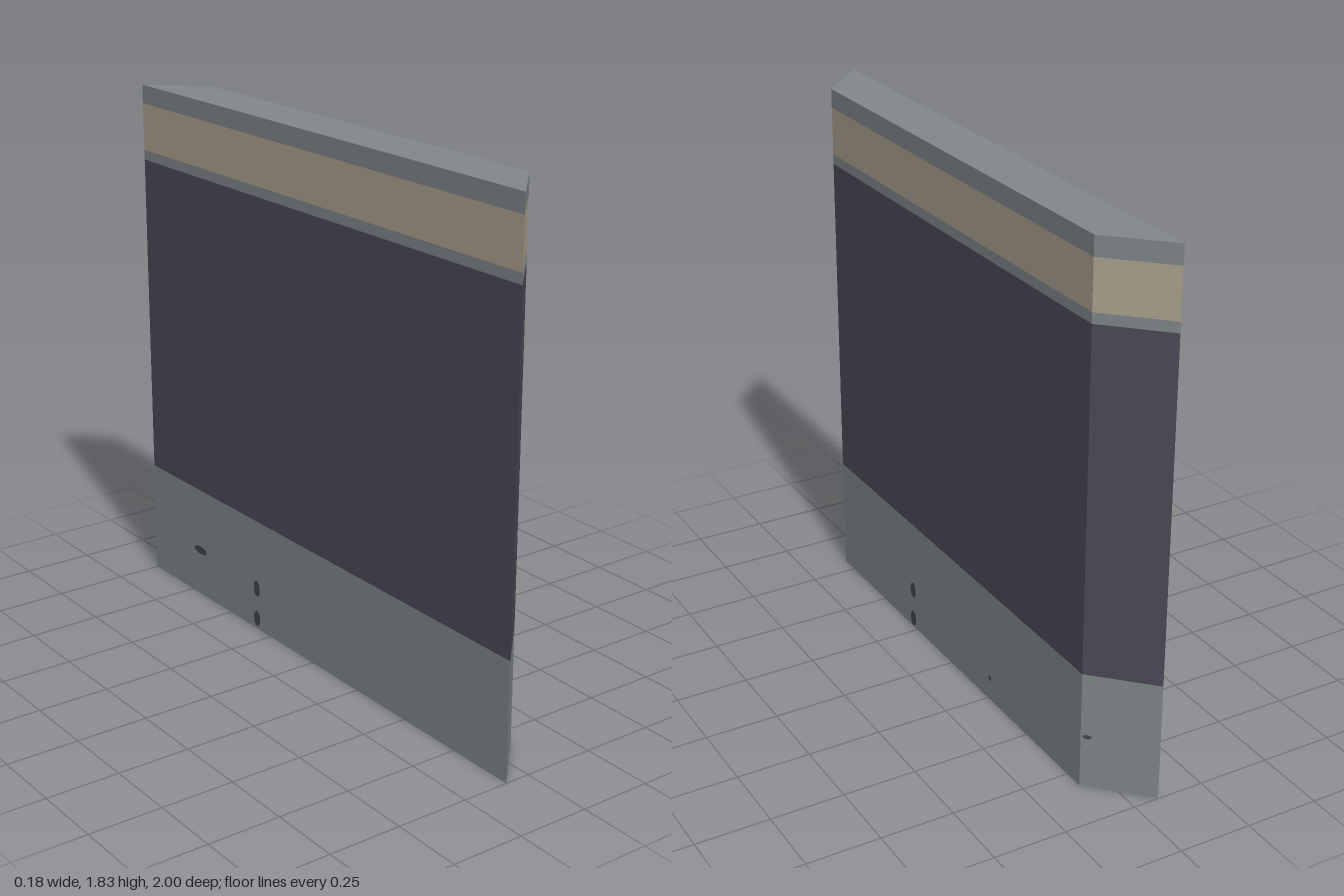
import * as THREE from 'three';

const HALF_X = 0.0875, BACK_Z = 1, FRONT_Z = 0.82;

function material(name, color) {
  const m = new THREE.MeshStandardMaterial({ color });
  m.name = name;
  return m;
}

export function createModel() {
  const model = new THREE.Group();
  model.name = 'wallPanel';
  const grey = material('stone grey', 0x81878b);
  const slate = material('dark slate', 0x4c4a58);
  const tan = material('tan', 0xada28f);
  const chip = material('chip dark', 0x43464c);

  // Mitred footprint: long side on -x, 45 degree ends
  const footprint = new THREE.Shape([
    new THREE.Vector2(-HALF_X, -BACK_Z),
    new THREE.Vector2(HALF_X, -FRONT_Z),
    new THREE.Vector2(HALF_X, FRONT_Z),
    new THREE.Vector2(-HALF_X, BACK_Z),
  ]);

  // Stacked horizontal bands
  const bands = [
    ['baseBand', 0, 0.41, grey],
    ['mainPanel', 0.41, 1.565, slate],
    ['lowerTrim', 1.565, 1.6, grey],
    ['tanStripe', 1.6, 1.765, tan],
    ['topTrim', 1.765, 1.83, grey],
  ];
  for (const [name, y0, y1, mat] of bands) {
    const geo = new THREE.ExtrudeGeometry(footprint, { depth: y1 - y0, bevelEnabled: false });
    geo.rotateX(-Math.PI / 2);
    const band = new THREE.Mesh(geo, mat);
    band.name = name;
    band.position.y = y0;
    model.add(band);
  }

  // Small flat chips in the base: position, facing direction, width, height
  const addChip = (name, pos, normal, w, h) => {
    const mesh = new THREE.Mesh(new THREE.CircleGeometry(0.5, 10), chip);
    const n = new THREE.Vector3(...normal).normalize();
    mesh.name = name;
    mesh.scale.set(w, h, 1);
    mesh.quaternion.setFromUnitVectors(new THREE.Vector3(0, 0, 1), n);
    mesh.position.set(...pos).addScaledVector(n, 0.002);
    model.add(mesh);
  };
  for (const y of [0.15, 0.035]) {
    addChip('faceChip', [HALF_X, y, 0.275], [1, 0, 0], 0.038, 0.06);
    addChip('rearChip', [-HALF_X, y + 0.005, -0.33], [-1, 0, 0], 0.038, 0.06);
  }
  addChip('smallChip', [HALF_X, 0.085, -0.265], [1, 0, 0], 0.018, 0.018);
  addChip('rearWideChip', [-HALF_X, 0.175, -0.69], [-1, 0, 0], 0.08, 0.03);
  addChip('endChip', [HALF_X - 0.015, 0.185, -FRONT_Z - 0.015], [1, 0, -1], 0.03, 0.015);

  return model;
}
